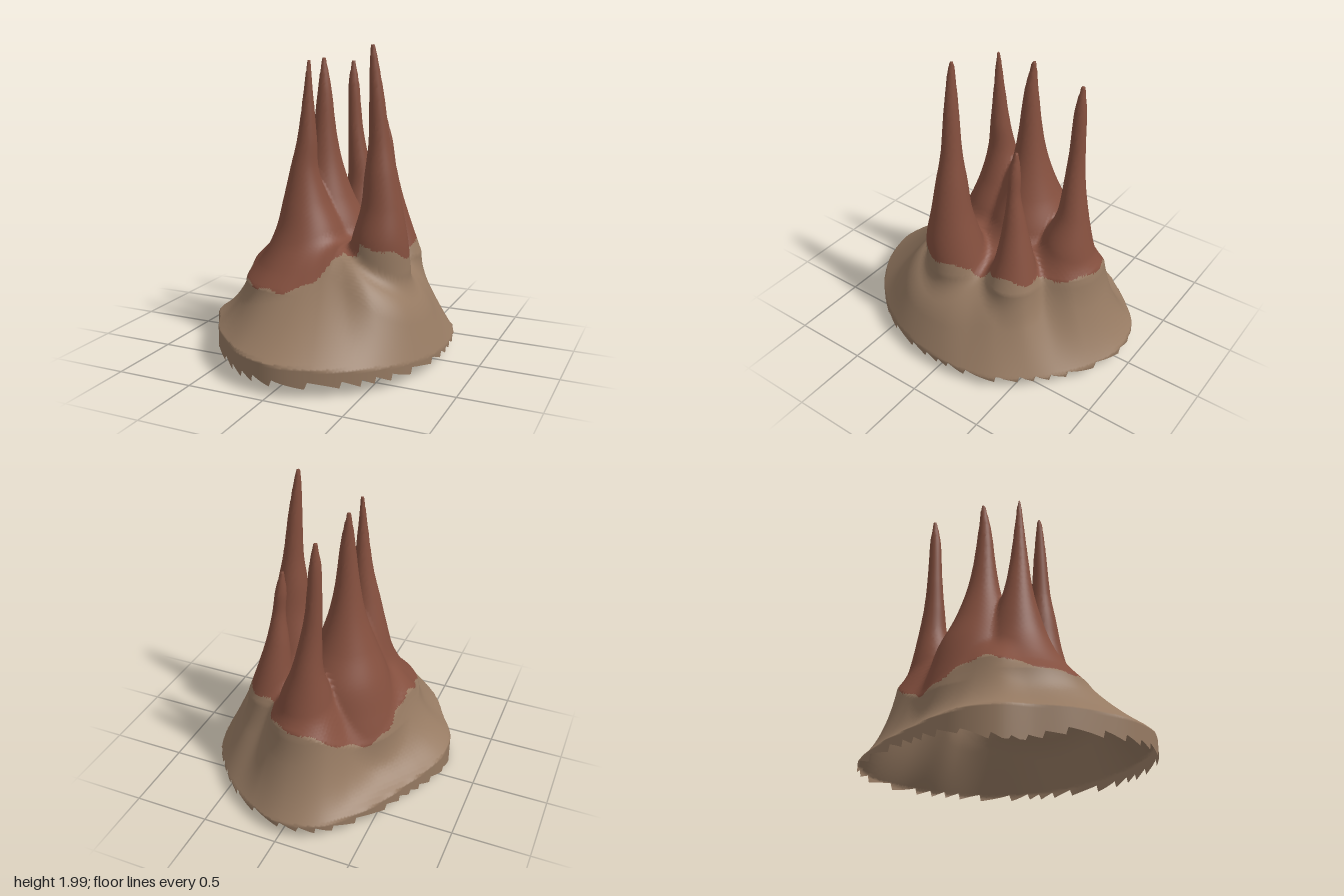
import * as THREE from 'three';
import { mergeVertices } from 'three/addons/utils/BufferGeometryUtils.js';

// Plan outlines as radii every 15 degrees, from +x round through +z
const FOOT = [.775, .785, .805, .835, .87, .905, .925, .89, .825, .79, .765, .795,
  .785, .75, .735, .77, .83, .915, .93, .89, .85, .82, .81, .785];
const SHOULDER = [.53, .55, .56, .49, .40, .45, .53, .57, .58, .56, .54, .53,
  .50, .49, .51, .53, .60, .69, .70, .65, .52, .55, .50, .50];
// Height of the shoulder, where the colour changes, at the same angles
const SHOULDER_Y = [.68, .70, .75, .78, .72, .62, .53, .50, .50, .50, .53, .58,
  .60, .56, .49, .45, .49, .60, .65, .64, .64, .67, .69, .64];

// Spires as rows of height, centre x, centre z, radius
const SPIRES = [
  [[.6, .36, .12, .205], [.8, .375, .14, .175], [1, .385, .14, .13], [1.2, .375, .14, .1],
    [1.4, .365, .14, .068], [1.7, .345, .145, .045], [1.9, .328, .15, .026], [2, .32, .15, .013]],
  [[.45, -.12, -.13, .38], [.6, -.12, -.13, .335], [.8, -.115, -.135, .275], [1, -.12, -.12, .188],
    [1.2, -.12, -.115, .12], [1.4, -.12, -.11, .08], [1.7, -.12, -.11, .044], [1.9, -.13, -.12, .013]],
  [[.5, -.15, .19, .35], [.6, -.14, .16, .29], [.8, -.125, .12, .22], [1, -.145, .125, .147],
    [1.2, -.15, .135, .092], [1.4, -.13, .135, .063], [1.7, -.12, .135, .03], [1.89, -.115, .135, .012]],
  [[.6, .0, -.5, .2], [.8, .0, -.49, .16], [1, -.02, -.505, .1], [1.2, -.04, -.495, .07],
    [1.4, -.06, -.49, .052], [1.7, -.075, -.49, .037], [1.86, -.08, -.495, .013]],
  [[.6, .33, -.3, .165], [.8, .31, -.295, .115], [1, .29, -.28, .075], [1.2, .28, -.265, .043],
    [1.35, .265, -.26, .037], [1.5, .25, -.26, .013]],
];

// Smooth closed lookup in a list of values round the circle
function around(list, angle) {
  const n = list.length, t = ((angle / (2 * Math.PI)) * n + n) % n;
  const i = Math.floor(t), f = t - i;
  const [a, b, c, d] = [-1, 0, 1, 2].map(k => list[(i + k + n) % n]);
  return b + .5 * f * (c - a + f * (2 * a - 5 * b + 4 * c - d + f * (3 * (b - c) + d - a)));
}

// Smooth position and radius of a spire at a height
function spireAt(rows, y) {
  if (y <= rows[0][0]) return rows[0];
  const i = rows.findIndex(r => r[0] > y), last = rows.length - 1;
  if (i < 0) return rows[last];
  const a = rows[i - 1], b = rows[i], h = b[0] - a[0], t = (y - a[0]) / h;
  const before = rows[Math.max(0, i - 2)], after = rows[Math.min(last, i + 1)];
  return a.map((v, k) => {
    const m0 = h * (b[k] - before[k]) / (b[0] - before[0]);
    const m1 = h * (after[k] - v) / (after[0] - a[0]);
    const d = b[k] - v;
    return v + t * (m0 + t * (3 * d - 2 * m0 - m1 + t * (m0 + m1 - 2 * d)));
  });
}

function smoothMax(a, b, k) {
  const h = Math.max(k - Math.abs(a - b), 0) / k;
  return Math.max(a, b) + h * h * k / 4;
}

// Sloping foot of the rock: positive inside
function footField(x, y, z) {
  const angle = Math.atan2(z, x), r = Math.hypot(x, z);
  const low = around(FOOT, angle), high = around(SHOULDER, angle), top = around(SHOULDER_Y, angle);
  const start = .145 - .045 * Math.cos(angle) + .045 * Math.sin(angle);
  let radius;
  if (y < top) {
    const t = Math.max(0, (y - start) / (top - start));
    const bend = .655 + .29 * Math.cos(angle) + .15 * Math.sin(angle);
    radius = low + (high - low) * t / (t + (1 - t) * bend);
  } else radius = high - (y - top) * .95;
  const roof = .75 - .6 * Math.max(0, x - .15);
  return -smoothMax(r - radius, (y - roof) * .8, .1);
}

// Height of the broken lower rim
function rimHeight(x, z) {
  const angle = Math.atan2(z, x);
  const tooth = ((angle + 4) * 6 + Math.sin(angle * 7) * .4) % 1;
  const sag = Math.exp(-(((x + .72) / .16) ** 2) - (((z - .26) / .25) ** 2));
  return Math.max(0, .055 + .045 * tooth - .08 * sag);
}

function buildShell() {
  const step = .016, min = [-.84, -.064, -1], size = [106, 132, 124];
  const stride = [1, size[0], size[0] * size[1]];
  const values = new Float32Array(size[0] * size[1] * size[2]);
  // Sample the rock, one level at a time
  for (let j = 0; j < size[1]; j++) {
    const y = min[1] + j * step;
    const rings = SPIRES.map(rows => [...spireAt(rows, y), rows[rows.length - 1][0] - y]);
    for (let k = 0; k < size[2]; k++) for (let i = 0; i < size[0]; i++) {
      const x = min[0] + i * step, z = min[2] + k * step;
      let v = -1;
      for (const [, cx, cz, r, over] of rings) {
        v = smoothMax(v, Math.min(r - Math.hypot(x - cx, z - cz), over), .03);
      }
      if (y < .95) v = smoothMax(v, footField(x, y, z), .06);
      values[i + j * stride[1] + k * stride[2]] = v;
    }
  }
  // One vertex in each cell that the surface crosses, none below the rim
  const ids = new Int32Array(values.length).fill(-1), positions = [], normals = [], onRim = [];
  const corner = c => (c & 1) + ((c >> 1) & 1) * stride[1] + (c >> 2) * stride[2];
  for (let k = 0; k < size[2] - 1; k++) for (let j = 0; j < size[1] - 1; j++) for (let i = 0; i < size[0] - 1; i++) {
    const base = i + j * stride[1] + k * stride[2];
    const sum = [0, 0, 0], grad = [0, 0, 0];
    let count = 0;
    for (let c = 0; c < 8; c++) for (let a = 0; a < 3; a++) {
      if (c & (1 << a)) continue;
      const v0 = values[base + corner(c)], v1 = values[base + corner(c | (1 << a))];
      grad[a] += v0 - v1;
      if (v0 > 0 === v1 > 0) continue;
      for (let q = 0; q < 3; q++) sum[q] += q === a ? v0 / (v0 - v1) : (c >> q) & 1;
      count++;
    }
    if (!count) continue;
    ids[base] = onRim.length;
    const [x, y, z] = [i, j, k].map((n, q) => min[q] + (n + sum[q] / count) * step);
    const rim = rimHeight(x, z);
    onRim.push(y <= rim);
    positions.push(x, Math.max(y, rim), z);
    const length = Math.hypot(...grad) || 1;
    normals.push(...grad.map(g => g / length));
  }
  // Sort the faces by colour
  const spireFaces = [], footFaces = [];
  const addTriangle = (a, b, c) => {
    if (onRim[a] && onRim[b] && onRim[c]) return;
    const mid = q => (positions[a * 3 + q] + positions[b * 3 + q] + positions[c * 3 + q]) / 3;
    const x = mid(0), y = mid(1), z = mid(2), angle = Math.atan2(z, x);
    const wobble = .012 * Math.sin(angle * 17);
    const isSpire = y > around(SHOULDER_Y, angle) + wobble
      || Math.hypot(x, z) < around(SHOULDER, angle) - .06;
    (isSpire ? spireFaces : footFaces).push(a, b, c);
  };
  for (let k = 1; k < size[2] - 1; k++) for (let j = 1; j < size[1] - 1; j++) for (let i = 1; i < size[0] - 1; i++) {
    const p = i + j * stride[1] + k * stride[2];
    for (let a = 0; a < 3; a++) {
      const inside = values[p] > 0;
      if (inside === values[p + stride[a]] > 0) continue;
      const u = stride[(a + 1) % 3], v = stride[(a + 2) % 3];
      const quad = [ids[p - u - v], ids[p - v], ids[p], ids[p - u]];
      if (quad.some(id => id < 0)) continue;
      if (!inside) quad.reverse();
      addTriangle(quad[0], quad[1], quad[2]);
      addTriangle(quad[0], quad[2], quad[3]);
    }
  }
  // Keep only the vertices each part uses
  const part = faces => {
    const g = new THREE.BufferGeometry();
    g.setAttribute('position', new THREE.Float32BufferAttribute(positions, 3));
    g.setAttribute('normal', new THREE.Float32BufferAttribute(normals, 3));
    g.setIndex(faces);
    return mergeVertices(g.toNonIndexed(), 1e-5);
  };
  return { spires: part(spireFaces), foot: part(footFaces) };
}

export function createModel() {
  const group = new THREE.Group();
  group.name = 'rockSpires';
  const redRock = new THREE.MeshStandardMaterial({ color: 0x844f3e, side: THREE.DoubleSide });
  redRock.name = 'red rock';
  const sandRock = new THREE.MeshStandardMaterial({ color: 0x967a62, side: THREE.DoubleSide });
  sandRock.name = 'sand rock';
  const shell = buildShell();
  const spires = new THREE.Mesh(shell.spires, redRock);
  spires.name = 'spires';
  const foot = new THREE.Mesh(shell.foot, sandRock);
  foot.name = 'foot';
  group.add(spires, foot);
  return group;
}
